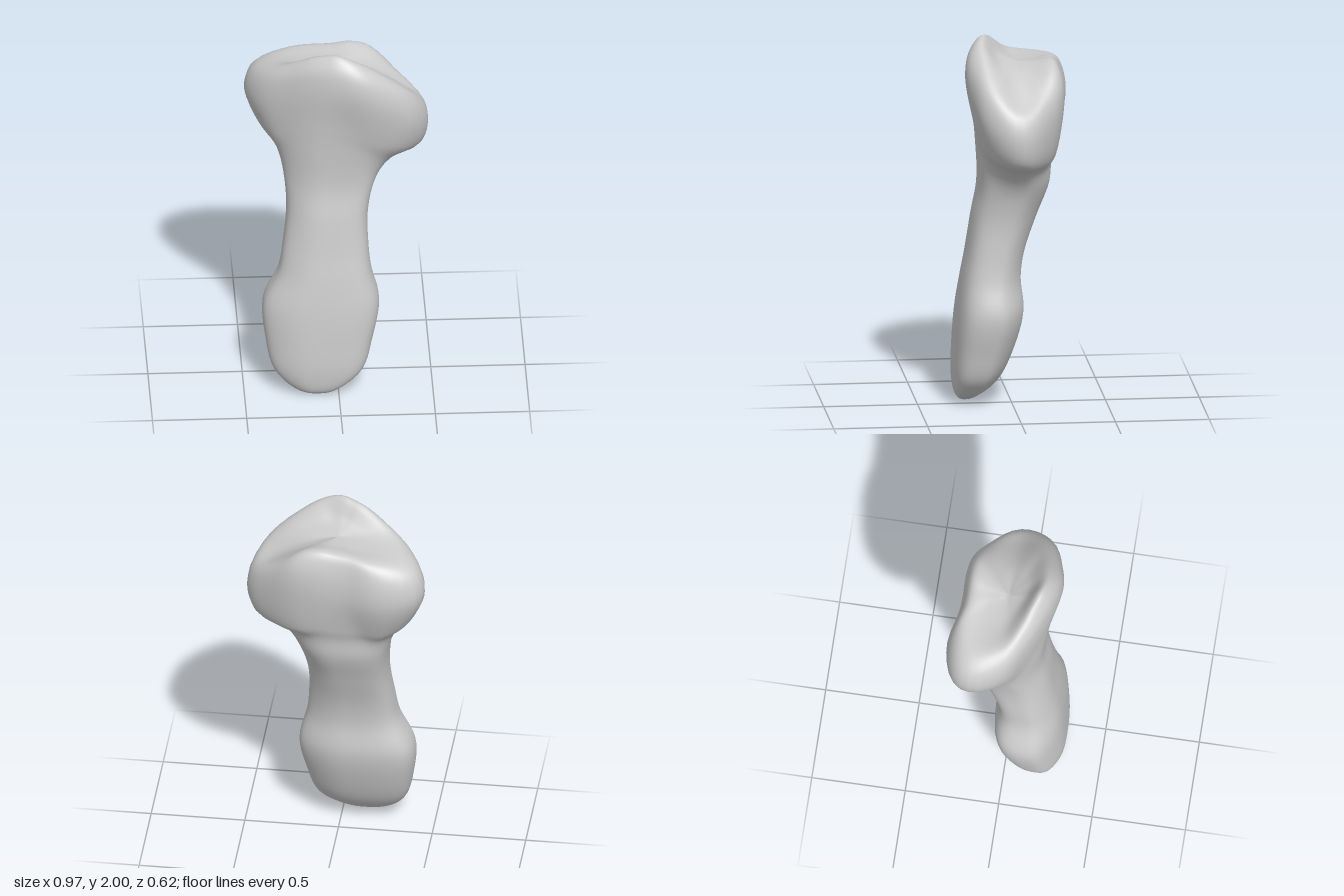
import * as THREE from 'three';

const mix = THREE.MathUtils.lerp;
const AROUND = 64, ALONG = 90;

// Head data at 16 even angles, running from +x towards +z
const headRadius = [.485, .45, .355, .30, .26, .245, .26, .315, .43, .51, .41, .285, .25, .27, .325, .39];
const headY = [1.52, 1.59, 1.71, 1.8, 1.82, 1.82, 1.8, 1.74, 1.65, 1.63, 1.6, 1.6, 1.62, 1.66, 1.67, 1.58];
const rimY = [1.71, 1.82, 1.92, 1.975, 2.0, 1.99, 1.97, 1.925, 1.86, 1.83, 1.84, 1.86, 1.87, 1.88, 1.86, 1.78];
// how far the neck has flared out just below the head, and at what height
const flare = [.86, .75, .6, .52, .5, .5, .5, .6, .62, .62, .52, .5, .5, .52, .62, .76];
const flareY = [1.38, 1.42, 1.48, 1.56, 1.6, 1.6, 1.56, 1.5, 1.46, 1.44, 1.39, 1.4, 1.4, 1.4, 1.38, 1.37];

// Shaft sections: y, x min, x max, z min, z max
const shaft = [
  [.004, -.15, -.07, .22, .26],
  [.03, -.23, .0, .165, .29],
  [.13, -.34, .13, .06, .308],
  [.3, -.385, .185, -.02, .305],
  [.5, -.395, .22, -.068, .29],
  [.68, -.315, .18, -.052, .265],
  [.82, -.29, .165, -.07, .24],
  [1.02, -.268, .165, -.135, .21],
  [1.2, -.28, .21, -.2, .18],
];

// Smooth periodic lookup in a 16-value list
function around(list, u) {
  const n = list.length, f = u * n, i = Math.floor(f), t = f - i;
  const [a, b, c, d] = [-1, 0, 1, 2].map(k => list[(i + k + n) % n]);
  return b + .5 * t * (c - a + t * (2 * a - 5 * b + 4 * c - d + t * (3 * (b - c) + d - a)));
}

// One line from the lower tip, up the shaft, over the head rim to the saddle centre
function meridian(u) {
  const angle = u * Math.PI * 2, c = Math.cos(angle), s = Math.sin(angle);
  const points = [new THREE.Vector3(-.11, 0, .24)];
  // two opposite corners of the shaft are squarer than the others
  const power = 2 / (2.6 + .45 * Math.sin(2 * angle));
  for (const [y, x0, x1, z0, z1] of shaft) {
    points.push(new THREE.Vector3(
      (x0 + x1) / 2 + (x1 - x0) / 2 * Math.sign(c) * Math.abs(c) ** power, y,
      (z0 + z1) / 2 + (z1 - z0) / 2 * Math.sign(s) * Math.abs(s) ** power));
  }
  const top = points[points.length - 1];
  const r = around(headRadius, u), yh = around(headY, u), yr = around(rimY, u);
  const f = around(flare, u), yf = around(flareY, u);
  const head = k => new THREE.Vector3(c * r * k, 0, -.02 + s * r * k);
  const add = (p, y) => points.push(p.setY(y));
  // flare under the head
  add(top.clone().lerp(head(1), f * .38), mix(1.2, yf, .6));
  add(top.clone().lerp(head(1), f), yf);
  // widest line, rounded rim and hollow saddle
  add(head(1), yh);
  add(head(.93 - .02 * s), mix(yh, yr, .66));
  add(head(.73 - .06 * s), yr);
  add(head(.36), mix(1.86, yr, .3));
  add(head(0), 1.86);
  return new THREE.CatmullRomCurve3(points, false, 'centripetal');
}

function boneGeometry() {
  const positions = [], index = [], row = ALONG + 1;
  for (let i = 0; i < AROUND; i++) {
    const curve = meridian(i / AROUND);
    for (let j = 0; j <= ALONG; j++) {
      const p = curve.getPoint(j / ALONG);
      positions.push(p.x, p.y, p.z);
    }
  }
  // both poles are shared by all meridians
  const id = (i, j) => (j === 0 || j === ALONG) ? j : (i % AROUND) * row + j;
  for (let i = 0; i < AROUND; i++) {
    for (let j = 0; j < ALONG; j++) {
      const a = id(i, j), b = id(i, j + 1), c = id(i + 1, j + 1), d = id(i + 1, j);
      if (b !== c) index.push(a, b, c);
      if (a !== d) index.push(a, c, d);
    }
  }
  const geometry = new THREE.BufferGeometry();
  geometry.setAttribute('position', new THREE.Float32BufferAttribute(positions, 3));
  geometry.setIndex(index);
  geometry.computeVertexNormals();
  return geometry;
}

export function createModel() {
  const group = new THREE.Group();
  group.name = 'toeBone';
  const bone = new THREE.Mesh(boneGeometry(), new THREE.MeshStandardMaterial({ color: 0xcccccc }));
  bone.name = 'bone';
  group.add(bone);
  return group;
}
